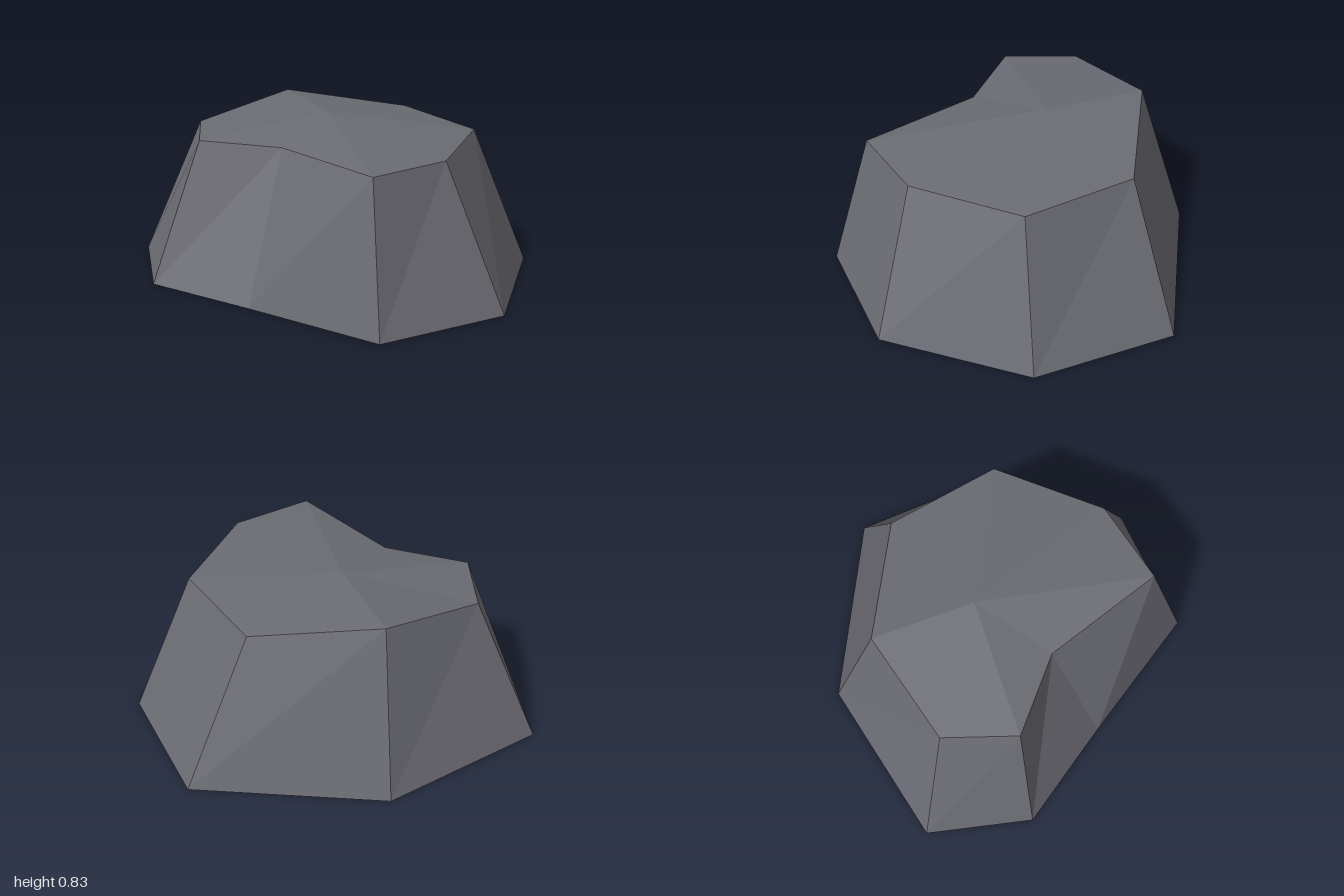
import * as THREE from 'three';

// Base and rim outlines, clockwise seen from above, starting at the back
const base = [[-0.08, -0.96], [0.86, -0.63], [1, 0.12], [0.58, 0.82], [-0.11, 0.96], [-0.6, 0.37], [-1, -0.09], [-0.94, -0.65]]
  .map(([x, z]) => new THREE.Vector3(x, 0, z));
const rim = [[-0.11, -0.7], [0.51, -0.48], [0.69, 0.1], [0.34, 0.6], [-0.08, 0.75], [-0.36, 0.15], [-0.73, -0.1], [-0.65, -0.48]]
  .map(([x, z], i) => new THREE.Vector3(x, i === 0 ? 0.835 : 0.75, z));
const peak = new THREE.Vector3(-0.04, 0.835, -0.17);

function facetMesh(name, points, material) {
  const geometry = new THREE.BufferGeometry().setFromPoints(points);
  geometry.computeVertexNormals();
  const mesh = new THREE.Mesh(geometry, material);
  mesh.name = name;
  return mesh;
}

export function createModel() {
  const stone = new THREE.MeshStandardMaterial({ color: 0x6b6b73, flatShading: true, side: THREE.DoubleSide });
  stone.name = 'grey stone';

  const sides = [];
  const top = [];
  base.forEach((a, i) => {
    const j = (i + 1) % base.length;
    sides.push(base[j], a, rim[i], base[j], rim[i], rim[j]); // sloping side facet
    top.push(peak, rim[j], rim[i]); // fan to the peak
  });

  const group = new THREE.Group();
  group.name = 'rock';
  // The shell is open underneath
  group.add(facetMesh('rockSides', sides, stone), facetMesh('rockTop', top, stone));
  return group;
}
